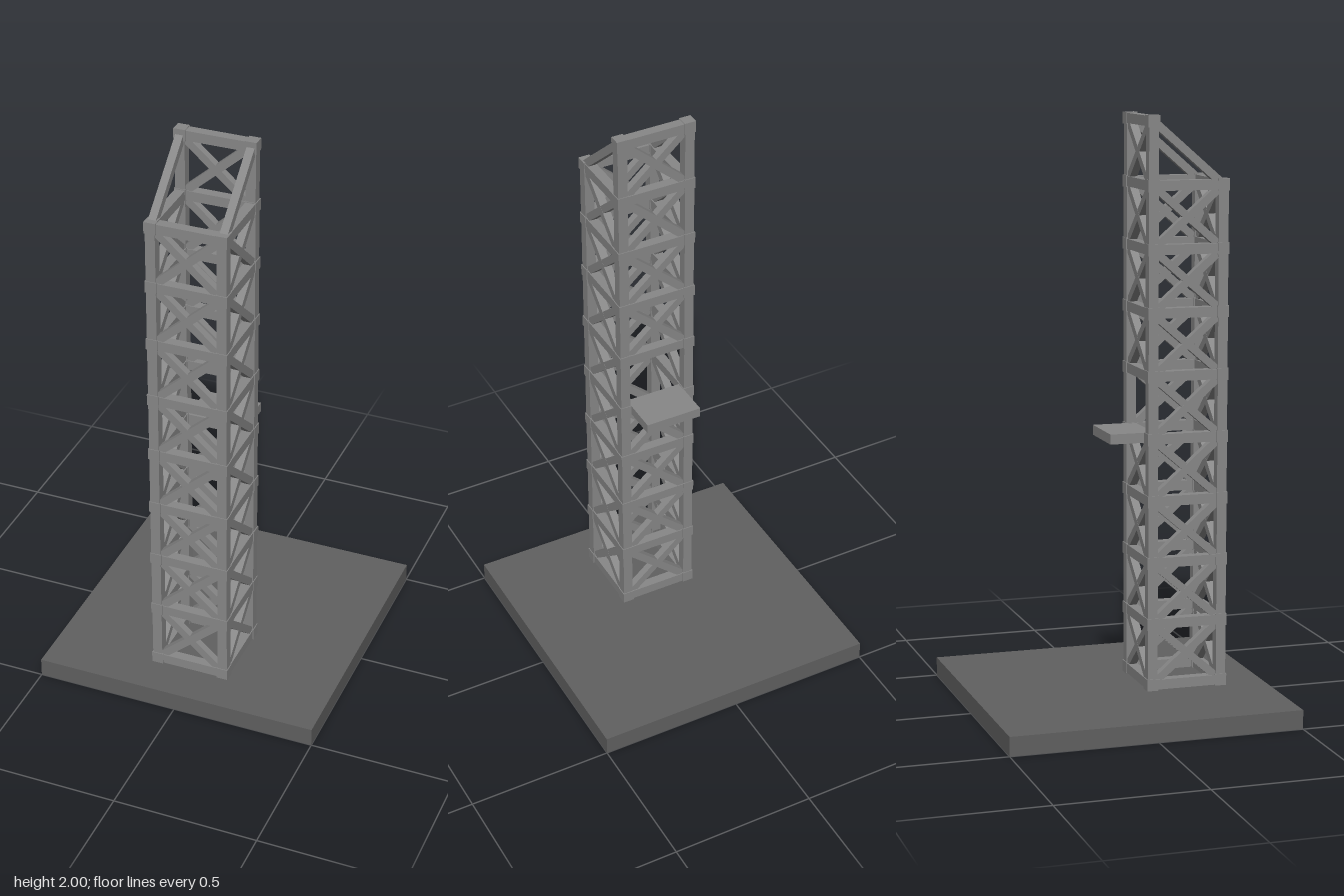
import * as THREE from 'three';

export function createModel() {
  const model = new THREE.Group();
  const steel = new THREE.MeshStandardMaterial({ color: 0x888888 });
  steel.name = 'steel grey';
  const dark = new THREE.MeshStandardMaterial({ color: 0x606060 });
  dark.name = 'dark grey';

  const X = 0.12, BACK = 0.098, FRONT = 0.341; // post centre lines
  const Y0 = 0.085, STEP = 0.2106, CELLS = 9;  // joint levels
  const level = (i) => Y0 + i * STEP;

  function box(name, w, h, d, x, y, z, material = steel) {
    const mesh = new THREE.Mesh(new THREE.BoxGeometry(w, h, d), material);
    mesh.name = name;
    mesh.position.set(x, y, z);
    model.add(mesh);
    return mesh;
  }

  // Square bar between two points
  function bar(name, a, b, t) {
    const from = new THREE.Vector3(...a), to = new THREE.Vector3(...b);
    const mid = from.clone().add(to).multiplyScalar(0.5);
    const mesh = box(name, t, t, from.distanceTo(to), mid.x, mid.y, mid.z);
    mesh.lookAt(to);
  }

  // Crossed braces filling one panel between two posts
  function cross(name, p, q, y0, y1) {
    bar(name, [p[0], y0, p[1]], [q[0], y1, q[1]], 0.027);
    bar(name, [p[0], y1, p[1]], [q[0], y0, q[1]], 0.026);
  }

  // Base slab and rear platform
  box('base', 1, 0.065, 1, 0, 0.0325, 0, dark);
  box('platform', 0.2, 0.034, 0.125, 0, level(4) + 0.002, 0.0225);

  // Corner posts, taller at the back
  for (const x of [-X, X]) {
    for (const [z, top] of [[FRONT, level(8)], [BACK, level(9)]]) {
      box('post', 0.034, top - 0.065, 0.034, x, (top + 0.065) / 2, z);
    }
    // Sloping struts of the open top
    bar('topStrut', [x, level(8), FRONT], [x, level(9), BACK], 0.027);
  }

  // Joints and horizontal beams at every level
  for (let i = 0; i <= CELLS; i++) {
    const y = level(i);
    for (const z of i < CELLS ? [BACK, FRONT] : [BACK]) {
      box('crossBeam', 2 * X, 0.034, 0.034, 0, y, z);
      for (const x of [-X, X]) box('joint', 0.04, 0.04, 0.04, x, y, z);
    }
    if (i === CELLS) continue;
    for (const x of [-X, X]) {
      box('sideBeam', 0.034, 0.034, FRONT - BACK, x, y, (FRONT + BACK) / 2);
    }
  }

  // Braces in every panel, with a doorway left open above the platform
  for (let i = 0; i < CELLS; i++) {
    const y0 = level(i), y1 = level(i + 1);
    if (i !== 4) cross('backBrace', [-X, BACK], [X, BACK], y0, y1);
    if (i === CELLS - 1) continue;
    cross('frontBrace', [-X, FRONT], [X, FRONT], y0, y1);
    for (const x of [-X, X]) cross('sideBrace', [x, BACK], [x, FRONT], y0, y1);
  }
  return model;
}
